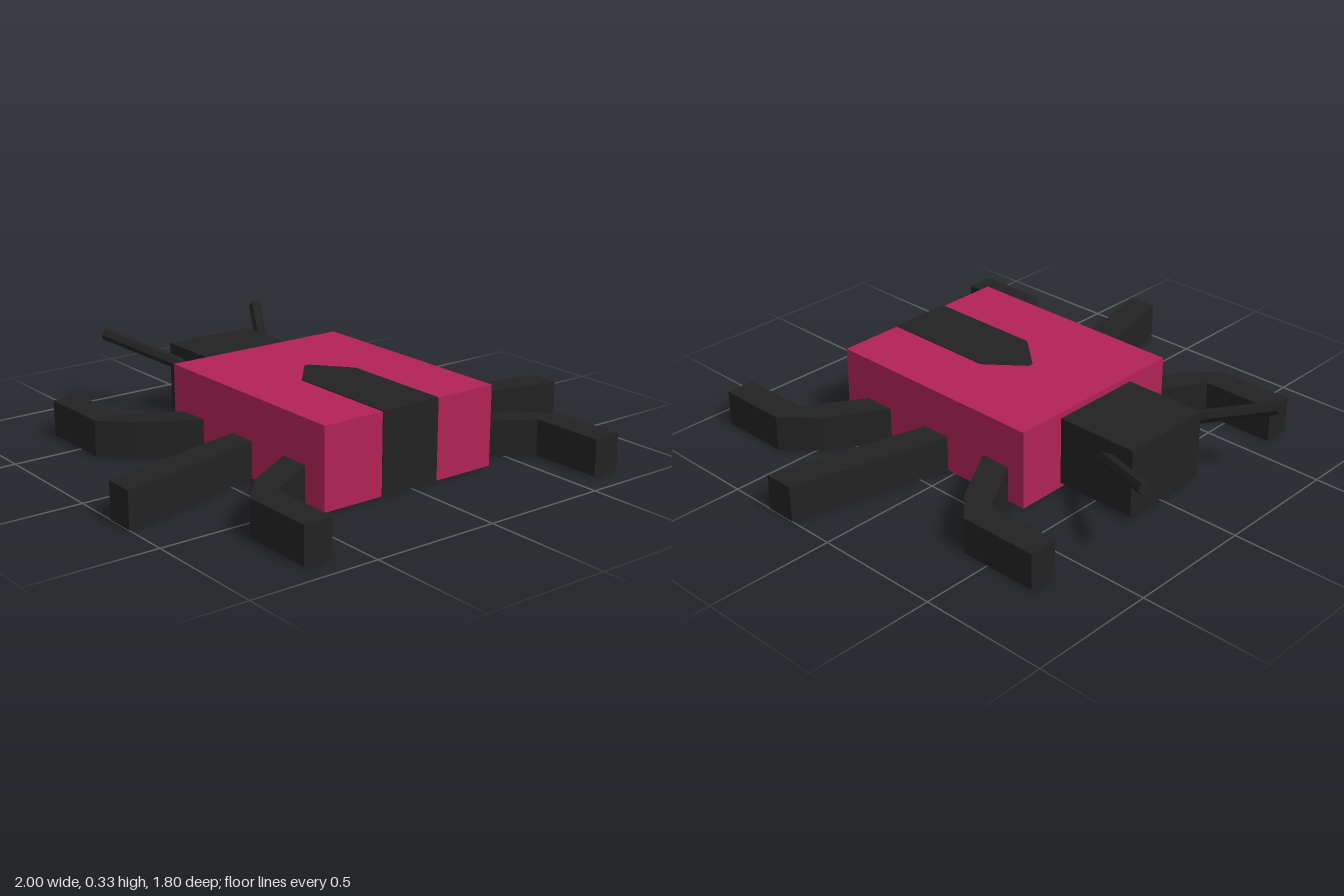
import * as THREE from 'three';

export function createModel() {
  const model = new THREE.Group();
  model.name = 'beetle';
  const red = new THREE.MeshStandardMaterial({ color: 0xb22256 });
  red.name = 'crimson';
  const black = new THREE.MeshStandardMaterial({ color: 0x222222 });
  black.name = 'black';

  const add = (name, geometry, material) => {
    const mesh = new THREE.Mesh(geometry, material);
    mesh.name = name;
    model.add(mesh);
    return mesh;
  };

  // Box from its lower and upper bounds
  const box = (x0, x1, y0, y1, z0, z1) =>
    new THREE.BoxGeometry(x1 - x0, y1 - y0, z1 - z0)
      .translate((x0 + x1) / 2, (y0 + y1) / 2, (z0 + z1) / 2);

  // Plan outline of [x, z] points, filled from height y0 to y1
  const slab = (points, y0, y1) => {
    const shape = new THREE.Shape(points.map(([x, z]) => new THREE.Vector2(x, z)));
    return new THREE.ExtrudeGeometry(shape, { depth: y1 - y0, bevelEnabled: false })
      .rotateX(Math.PI / 2)
      .translate(0, y1, 0);
  };

  // Body and head
  add('body', box(-0.39, 0.382, 0, 0.314, -0.348, 0.582), red);
  add('head', box(-0.195, 0.185, 0.02, 0.29, -0.68, -0.348), black);

  // Pointed stripe over the back, folding down the front face
  add('topStripe', slab([
    [-0.135, 0.585], [-0.135, 0.12], [-0.015, -0.022], [0.005, -0.022], [0.12, 0.12], [0.12, 0.585],
  ], 0.31, 0.317), black);
  add('frontStripe', box(-0.135, 0.12, 0, 0.314, 0.578, 0.585), black);

  // Three legs a side, with their inner ends buried in the body
  const legs = {
    frontLeg: [[0.36, 0.33], [0.605, 0.48], [0.72, 0.61], [0.72, 0.9], [0.605, 0.9], [0.605, 0.605], [0.36, 0.455]],
    middleLeg: [[0.36, 0.03], [1, 0.19], [1, 0.31], [0.36, 0.15]],
    rearLeg: [[0.36, -0.26], [0.605, -0.405], [0.605, -0.703], [0.72, -0.703], [0.72, -0.39], [0.605, -0.28], [0.36, -0.135]],
  };
  // Six-sided antenna between two points
  const antenna = (from, to) => {
    const dir = new THREE.Vector3().subVectors(to, from);
    const geometry = new THREE.CylinderGeometry(0.025, 0.025, dir.length(), 6).toNonIndexed();
    geometry.computeVertexNormals();
    geometry.applyQuaternion(new THREE.Quaternion().setFromUnitVectors(
      new THREE.Vector3(0, 1, 0), dir.normalize()));
    return geometry.translate((from.x + to.x) / 2, (from.y + to.y) / 2, (from.z + to.z) / 2);
  };

  for (const [side, s] of [['left', 1], ['right', -1]]) {
    for (const [name, points] of Object.entries(legs)) {
      add(`${name}_${side}`, slab(points.map(([x, z]) => [s * x, z]), 0, 0.142), black);
    }
    add(`antenna_${side}`, antenna(
      new THREE.Vector3(s * 0.155, 0.197, -0.51),
      new THREE.Vector3(s * 0.374, 0.314, -0.889)), black);
  }
  return model;
}
